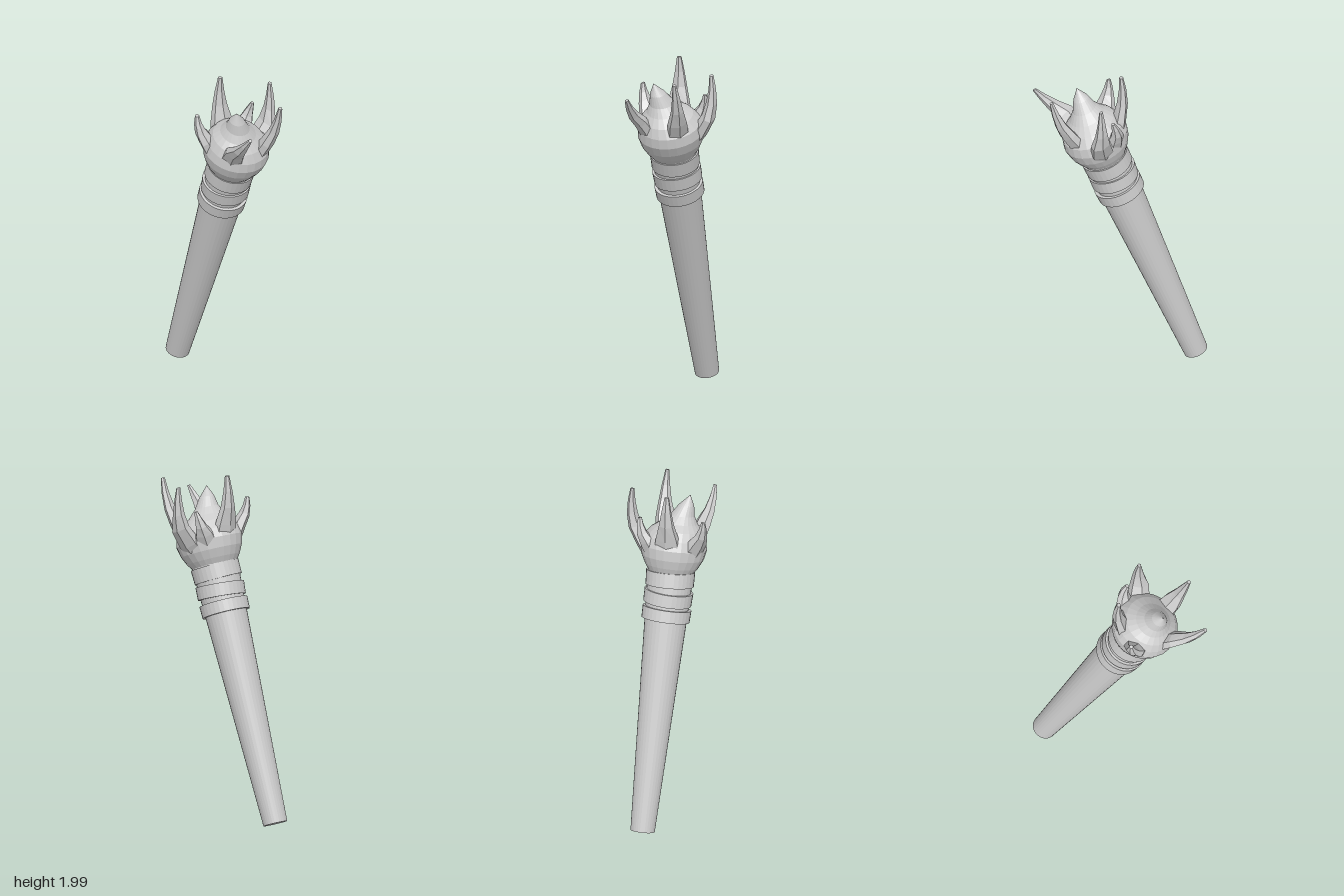
import * as THREE from 'three';

const V = (x, y, z) => new THREE.Vector3(x, y, z);
const material = new THREE.MeshStandardMaterial({ color: 0xcccccc, flatShading: true });

// Leaning axis of the torch
const base = V(0.135, 0.025, -0.395);
const axis = V(-0.135, 1.445, 0.515).normalize();
const onAxis = s => base.clone().addScaledVector(axis, s);

function add(parent, name, geometry) {
  const mesh = new THREE.Mesh(geometry, material);
  mesh.name = name;
  parent.add(mesh);
  return mesh;
}

// Tapering claw: oval rings swept from inside the bowl, over a bulge, to a blunt tip
function clawGeometry(bulge, tip, width) {
  const mid = bulge.clone().sub(onAxis(1.66));
  const out = mid.addScaledVector(axis, -mid.dot(axis)).normalize();
  const side = new THREE.Vector3().crossVectors(axis, out).normalize();
  const root = onAxis(1.58).addScaledVector(out, 0.09);
  const curve = new THREE.CatmullRomCurve3([
    root, bulge.clone().addScaledVector(out, -0.035), bulge.clone().lerp(tip, 0.5), tip]);
  const sizes = [[0.9, 0.05], [1, 0.045], [0.85, 0.04], [0.55, 0.032], [0.35, 0.022], [0.16, 0.012]];
  const rows = sizes.length, sides = 6, pos = [], index = [];
  sizes.forEach(([w, thick], i) => {
    const t = i / (rows - 1), p = curve.getPoint(t), dir = curve.getTangent(t);
    const depth = new THREE.Vector3().crossVectors(side, dir).normalize();
    for (let j = 0; j < sides; j++) {
      const a = (j + 0.5) / sides * Math.PI * 2;
      const q = p.clone().addScaledVector(side, Math.cos(a) * w * width / 2)
        .addScaledVector(depth, -Math.sin(a) * thick);
      pos.push(q.x, q.y, q.z);
    }
  });
  for (let i = 0; i < rows - 1; i++) {
    for (let j = 0; j < sides; j++) {
      const a = i * sides + j, b = i * sides + (j + 1) % sides;
      index.push(a, a + sides, b, b, a + sides, b + sides);
    }
  }
  const last = (rows - 1) * sides;
  for (let j = 1; j < sides - 1; j++) index.push(last, last + j + 1, last + j);
  const g = new THREE.BufferGeometry();
  g.setAttribute('position', new THREE.Float32BufferAttribute(pos, 3));
  g.setIndex(index);
  // Turn faces outward if the sweep came out reversed
  const P = k => V(pos[3 * k], pos[3 * k + 1], pos[3 * k + 2]);
  const centre = V(0, 0, 0);
  for (let k = 0; k < 2 * sides; k++) centre.addScaledVector(P(k), 1 / (2 * sides));
  const n = P(sides).sub(P(0)).cross(P(1).sub(P(0)));
  if (n.dot(P(0).add(P(1)).multiplyScalar(0.5).sub(centre)) < 0) g.setIndex(index.reverse());
  g.computeVertexNormals();
  return g;
}

export function createModel() {
  const model = new THREE.Group();
  model.name = 'torch';

  const shaft = new THREE.Group();
  shaft.name = 'shaft';
  shaft.position.copy(base);
  shaft.quaternion.setFromUnitVectors(V(0, 1, 0), axis);
  model.add(shaft);

  // Handle
  add(shaft, 'handle', new THREE.CylinderGeometry(0.134, 0.07, 1.54, 32)).position.y = 0.77;

  // Wrapped bands, each slightly askew
  [[1.275, 0.07, 0.03, 0.03], [1.375, 0.075, -0.05, 0.04], [1.485, 0.085, 0.02, -0.03]].forEach(([s, h, rx, rz], i) => {
    const band = add(shaft, 'band' + (i + 1), new THREE.CylinderGeometry(0.141, 0.139, h, 32));
    band.position.y = s;
    band.rotation.set(rx, 0, rz);
  });

  // Rounded bowl closing into a flame that leans to one side
  const profile = [[0, 1.5], [0.128, 1.52], [0.155, 1.56], [0.18, 1.61], [0.193, 1.67], [0.182, 1.725],
    [0.15, 1.775], [0.105, 1.815], [0.07, 1.86], [0.045, 1.92], [0, 1.985]];
  const bowl = new THREE.LatheGeometry(profile.map(([r, s]) => new THREE.Vector2(r, s)), 24);
  const p = bowl.attributes.position;
  for (let i = 0; i < p.count; i++) {
    const lean = Math.max(0, (p.getY(i) - 1.74) / 0.245);
    p.setX(i, p.getX(i) - 0.065 * lean);
    p.setZ(i, p.getZ(i) - 0.025 * lean);
  }
  bowl.computeVertexNormals();
  add(shaft, 'bowlAndFlame', bowl);

  // Claws around the rim: bulge, tip, width
  [
    [V(-0.195, 1.65, 0.29), V(-0.235, 1.84, 0.455), 0.14],
    [V(0.06, 1.65, 0.365), V(0.04, 1.935, 0.45), 0.14],
    [V(0.235, 1.67, 0.21), V(0.228, 1.94, 0.215), 0.14],
    [V(0.165, 1.66, 0.075), V(0.18, 1.8, 0.125), 0.13],
    [V(0.025, 1.7, 0.0), V(0.02, 1.995, 0.018), 0.17],
    [V(-0.175, 1.67, 0.035), V(-0.19, 1.835, 0.02), 0.15],
  ].forEach(([bulge, tip, width], i) => add(model, 'claw' + (i + 1), clawGeometry(bulge, tip, width)));

  return model;
}
